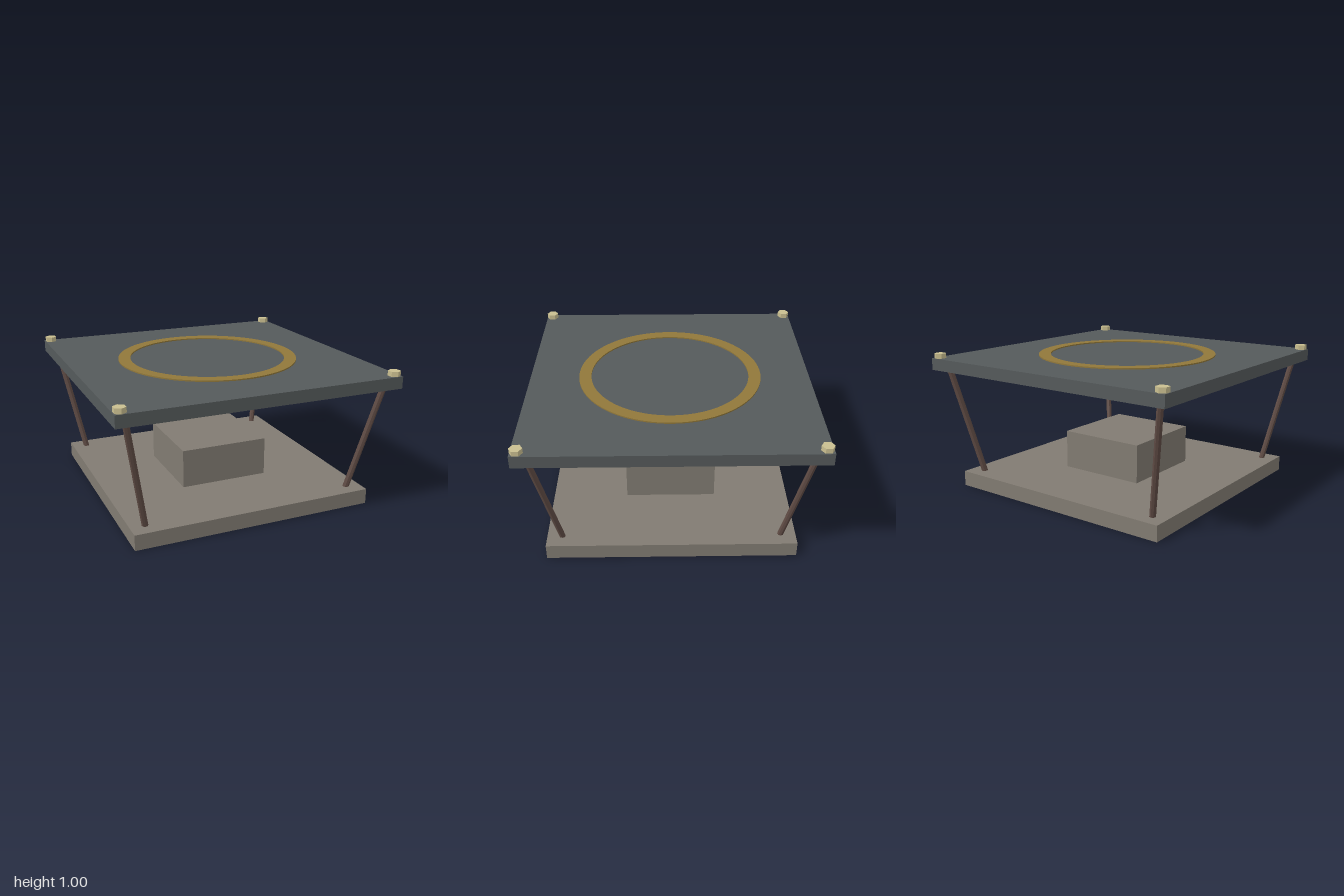
import * as THREE from 'three';

export function createModel() {
  const group = new THREE.Group();
  const mat = (name, color) => {
    const m = new THREE.MeshStandardMaterial({ color, flatShading: true });
    m.name = name;
    return m;
  };
  const slate = mat('slate', 0x555a5b);
  const stone = mat('stone', 0x817b72);
  const gold = mat('gold', 0x91783a);
  const brass = mat('brass', 0xcabf90);
  const rust = mat('rust', 0x604c45);

  const add = (name, geometry, material, x = 0, y = 0, z = 0) => {
    const mesh = new THREE.Mesh(geometry, material);
    mesh.name = name;
    mesh.position.set(x, y, z);
    group.add(mesh);
    return mesh;
  };

  // Base slab, central block and top plate
  add('base', new THREE.BoxGeometry(1.74, 0.11, 1.74), stone, 0, 0.055, 0);
  add('centralBlock', new THREE.BoxGeometry(0.65, 0.28, 0.65), stone, 0, 0.25, 0);
  add('topPlate', new THREE.BoxGeometry(2, 0.085, 2), slate, 0, 0.9275, 0);

  // Thin flat ring inlaid on the top plate
  const ring = new THREE.Shape().absarc(0, 0, 0.652, 0, Math.PI * 2, false);
  ring.holes.push(new THREE.Path().absarc(0, 0, 0.565, 0, Math.PI * 2, true));
  const ringGeo = new THREE.ExtrudeGeometry(ring, { depth: 0.009, bevelEnabled: false, curveSegments: 48 });
  add('ring', ringGeo.rotateX(-Math.PI / 2), gold, 0, 0.97, 0);

  // Splayed legs and hexagonal corner bolts
  const up = new THREE.Vector3(0, 1, 0);
  for (const sx of [-1, 1]) {
    for (const sz of [-1, 1]) {
      const foot = new THREE.Vector3(sx * 0.761, 0.09, sz * 0.761);
      const head = new THREE.Vector3(sx * 0.916, 0.9, sz * 0.916);
      const dir = head.clone().sub(foot);
      const mid = foot.clone().add(head).multiplyScalar(0.5);
      const leg = add('leg', new THREE.CylinderGeometry(0.022, 0.022, dir.length(), 8), rust, mid.x, mid.y, mid.z);
      leg.quaternion.setFromUnitVectors(up, dir.normalize());

      add('bolt', new THREE.CylinderGeometry(0.043, 0.043, 0.036, 6), brass, sx * 0.957, 0.987, sz * 0.957);
    }
  }
  return group;
}
